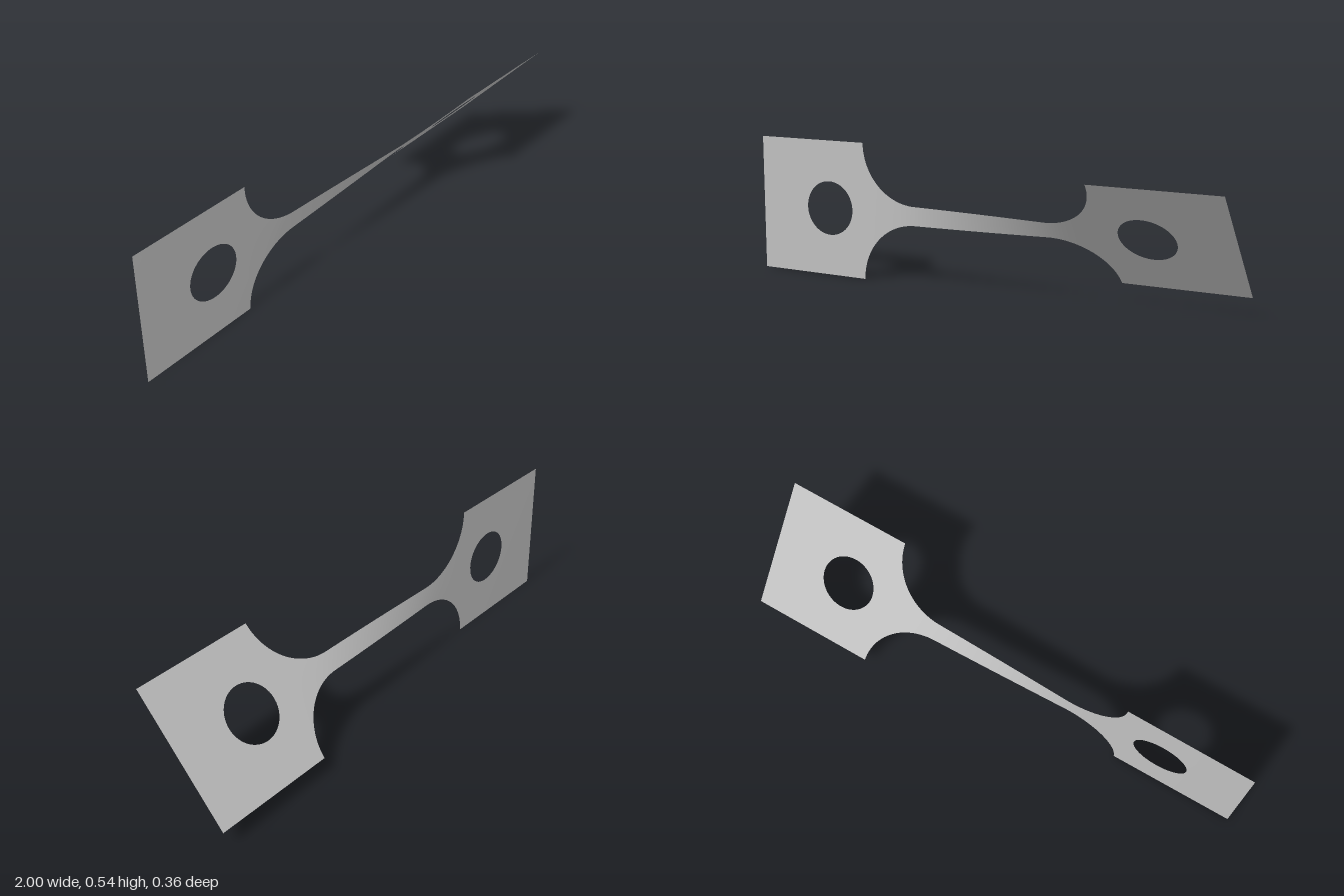
import * as THREE from 'three';

const HALF = 0.271;      // half width of the end plates
const NECK = 0.038;      // half width of the neck
const R = HALF - NECK;   // fillet radius
const PLATE_X = 0.51;    // where the plates begin
const ARC_X = PLATE_X - R;
const HOLE_X = 0.673, HOLE_R = 0.108;
const TWIST = THREE.MathUtils.degToRad(41);

// Half width of the strip at x
function halfWidth(x) {
  const d = Math.abs(x) - ARC_X;
  if (d <= 0) return NECK;
  if (d >= R) return HALF;
  return HALF - Math.sqrt(R * R - d * d);
}

// Twist builds up fastest where the strip is narrow
const STEPS = 2000;
const twistTable = [0];
for (let i = 0; i < STEPS; i++) {
  const w = halfWidth(-1 + (2 * (i + 0.5)) / STEPS);
  twistTable.push(twistTable[i] + 1 / (w * w));
}
function twistAt(x) {
  const f = THREE.MathUtils.clamp((x + 1) / 2, 0, 1) * STEPS;
  const i = Math.min(Math.floor(f), STEPS - 1);
  const t = THREE.MathUtils.lerp(twistTable[i], twistTable[i + 1], f - i);
  return (t / twistTable[STEPS]) * TWIST;
}

// Sheet from rows of flat [x, v] points, twisted about the long axis
function twistedSheet(rows, closed) {
  const n = rows[0].length, pos = [], index = [];
  for (const row of rows) {
    for (const [x, v] of row) {
      const a = twistAt(x);
      pos.push(x, HALF + v * Math.cos(a), v * Math.sin(a));
    }
  }
  for (let i = 0; i < rows.length - 1; i++) {
    for (let j = 0; j < (closed ? n : n - 1); j++) {
      const k = (j + 1) % n;
      const a = i * n + j, b = (i + 1) * n + j, c = (i + 1) * n + k, d = i * n + k;
      index.push(a, b, c, a, c, d);
    }
  }
  const geo = new THREE.BufferGeometry();
  geo.setAttribute('position', new THREE.Float32BufferAttribute(pos, 3));
  geo.setIndex(index);
  geo.computeVertexNormals();
  return geo;
}

// End plate: rings from the round hole out to the rectangle
function plateGeometry(x0, x1, holeX) {
  const corners = [[x0, -HALF], [x1, -HALF], [x1, HALF], [x0, HALF]];
  const perSide = 24, rings = 8, outer = [];
  corners.forEach(([ax, av], s) => {
    const [bx, bv] = corners[(s + 1) % 4];
    for (let i = 0; i < perSide; i++) {
      const t = i / perSide;
      outer.push([ax + (bx - ax) * t, av + (bv - av) * t]);
    }
  });
  const rows = [];
  for (let r = 0; r <= rings; r++) {
    const t = r / rings;
    rows.push(outer.map(([x, v]) => {
      const a = Math.atan2(v, x - holeX);
      return [
        THREE.MathUtils.lerp(holeX + HOLE_R * Math.cos(a), x, t),
        THREE.MathUtils.lerp(HOLE_R * Math.sin(a), v, t),
      ];
    }));
  }
  return twistedSheet(rows, true);
}

// Neck with a quarter-round fillet at each end
function neckGeometry() {
  const stations = [], arc = 28, straight = 48, across = 12;
  for (let i = 0; i < arc; i++) {
    const a = (i / arc) * Math.PI / 2;
    stations.push([-ARC_X - R * Math.cos(a), HALF - R * Math.sin(a)]);
  }
  for (let i = 0; i <= straight; i++) {
    stations.push([-ARC_X + (2 * ARC_X * i) / straight, NECK]);
  }
  for (let i = arc - 1; i >= 0; i--) stations.push([-stations[i][0], stations[i][1]]);
  const rows = stations.map(([x, w]) =>
    Array.from({ length: across + 1 }, (_, j) => [x, w * (2 * j / across - 1)]));
  return twistedSheet(rows, false);
}

export function createModel() {
  const group = new THREE.Group();
  group.name = 'twistedStrip';
  const metal = new THREE.MeshStandardMaterial({ color: 0xbfbfbf, side: THREE.DoubleSide });
  metal.name = 'greyMetal';

  const add = (name, geometry) => {
    const mesh = new THREE.Mesh(geometry, metal);
    mesh.name = name;
    group.add(mesh);
  };
  add('rightPlate', plateGeometry(-1, -PLATE_X, -HOLE_X));
  add('leftPlate', plateGeometry(PLATE_X, 1, HOLE_X));
  add('neck', neckGeometry());
  return group;
}
